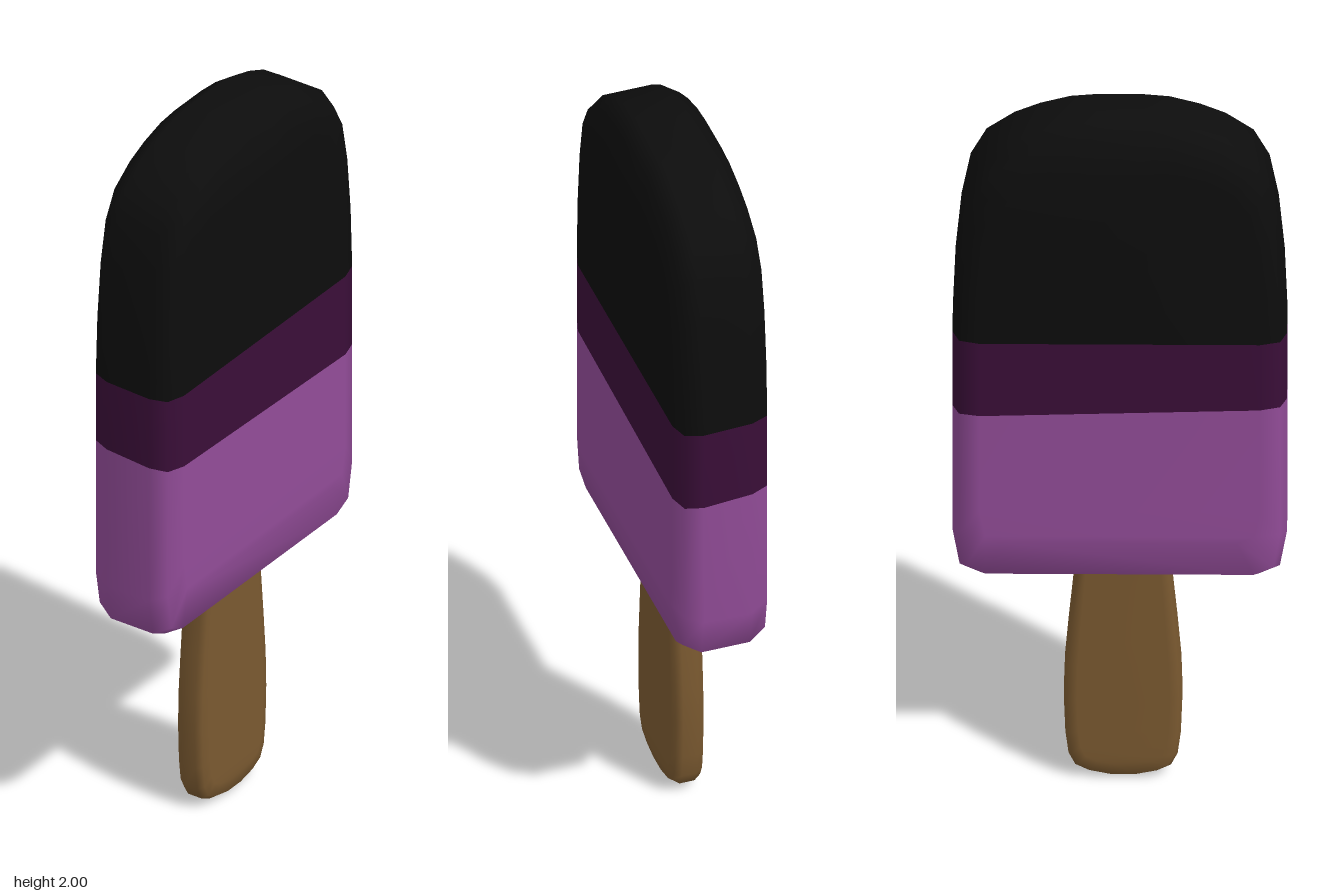
import * as THREE from 'three';

const mat = (name, color) => {
  const m = new THREE.MeshStandardMaterial({ color });
  m.name = name;
  return m;
};

// Lofts a bevelled slab from rows going up, each { x, y, tiltX, tiltZ }.
// Layers run from the front face to the side: { z, w, bottom, top }, where w scales
// the width and the rows outside [low, high] are squeezed to the layer's bottom and top.
// Bands: number of row strips for each material.
function bevelledSlab(rows, layers, low, high, bands) {
  const side = [...layers, ...layers.map(l => ({ ...l, z: -l.z })).reverse()];
  const ring = [
    ...side.map(l => ({ ...l, s: 1 })),
    ...side.slice().reverse().map(l => ({ ...l, s: -1 })),
  ];
  const n = ring.length;
  const y0 = rows[0].y, y1 = rows[rows.length - 1].y;
  const pos = [], index = [];

  for (const { x, y, tiltX = 0, tiltZ = 0 } of rows) {
    for (const p of ring) {
      let h = y;
      if (y < low) h = low - (low - y) * (low - p.bottom) / (low - y0);
      if (y > high) h = high + (y - high) * (p.top - high) / (y1 - high);
      const px = p.s * x * p.w;
      pos.push(px, h + tiltX * px + tiltZ * p.z, p.z);
    }
  }

  const quad = (a, b, c, d) => index.push(a, b, c, a, c, d);
  const cap = (start, up) => {
    for (let i = 0; i < n / 2 - 1; i++) {
      const q = [i, i + 1, n - 2 - i, n - 1 - i].map(k => k + start);
      quad(...(up ? q : q.reverse()));
    }
  };

  const geo = new THREE.BufferGeometry();
  let r = 0;
  cap(0, false);
  bands.forEach((count, m) => {
    const start = m === 0 ? 0 : index.length;
    for (let k = 0; k < count; k++, r++) {
      for (let i = 0; i < n; i++) {
        const j = (i + 1) % n;
        quad(r * n + i, r * n + j, (r + 1) * n + j, (r + 1) * n + i);
      }
    }
    if (m === bands.length - 1) cap(r * n, true);
    geo.addGroup(start, index.length - start, m);
  });
  geo.setAttribute('position', new THREE.Float32BufferAttribute(pos, 3));
  geo.setIndex(index);
  geo.computeVertexNormals();
  return geo;
}

const toRows = list => list.map(([x, y, tiltX, tiltZ]) => ({ x, y, tiltX, tiltZ }));

export function createModel() {
  const group = new THREE.Group();
  group.name = 'icePop';

  const lilac = mat('lilac ice', 0x924c98);
  const plum = mat('plum ice', 0x3a0e38);
  const dark = mat('dark coating', 0x0d0d0d);
  const wood = mat('wood', 0x7a5930);

  // Ice body: lilac base, slightly tilted plum band, dark rounded top
  const bodyRows = toRows([
    [0.35, 0.64], [0.402, 0.665], [0.42, 0.77],
    [0.42, 1.152, -0.03, -0.08],
    [0.42, 1.365, 0, -0.04],
    [0.413, 1.54], [0.398, 1.7], [0.375, 1.82], [0.335, 1.895],
    [0.265, 1.945], [0.2, 1.973], [0.125, 1.994], [0.06, 2],
  ]);
  const bodyLayers = [
    { z: 0.125, w: 0.84, bottom: 0.77, top: 1.885 },
    { z: 0.11, w: 0.96, bottom: 0.665, top: 1.97 },
    { z: 0.065, w: 1, bottom: 0.64, top: 2 },
  ];
  const body = new THREE.Mesh(
    bevelledSlab(bodyRows, bodyLayers, 1.1, 1.4, [3, 1, 8]), [lilac, plum, dark]);
  body.name = 'iceBody';
  group.add(body);

  // Wooden stick, widening towards its rounded lower end
  const stickRows = toRows([
    [0.03, 0], [0.085, 0.012], [0.12, 0.03], [0.137, 0.065], [0.145, 0.13],
    [0.149, 0.24], [0.146, 0.34], [0.136, 0.46], [0.119, 0.64], [0.113, 0.72],
  ]);
  const stickLayers = [
    { z: 0.043, w: 0.78, bottom: 0.045, top: 0.72 },
    { z: 0.037, w: 0.94, bottom: 0.012, top: 0.72 },
    { z: 0.02, w: 1, bottom: 0, top: 0.72 },
  ];
  const stick = new THREE.Mesh(
    bevelledSlab(stickRows, stickLayers, 0.2, 0.7, [9]), [wood]);
  stick.name = 'stick';
  stick.position.x = -0.008;
  group.add(stick);

  return group;
}
